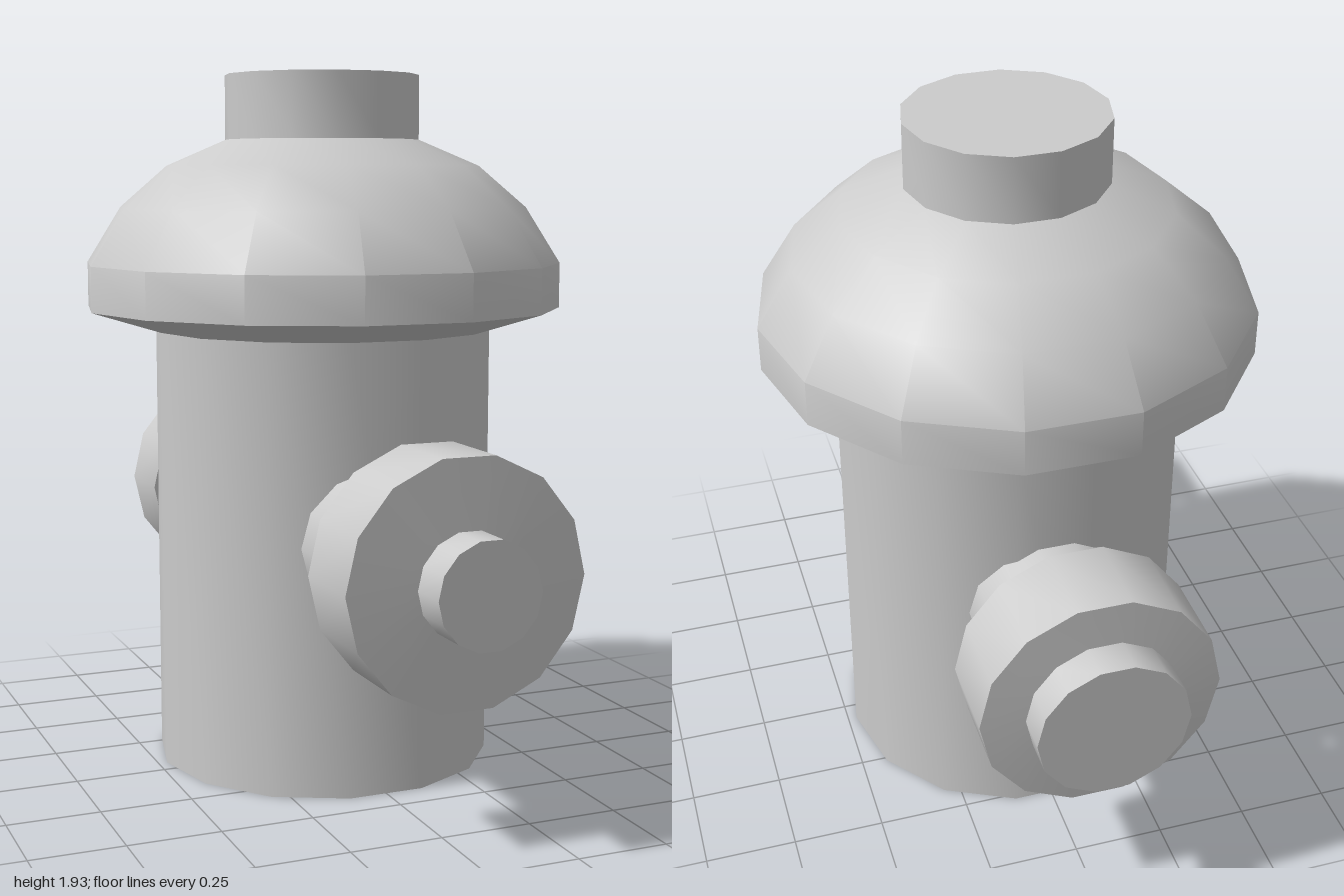
import * as THREE from 'three';
import { toCreasedNormals } from 'three/addons/utils/BufferGeometryUtils.js';

const SIDES = 14;
const AXIS_Z = -0.055;
const material = new THREE.MeshStandardMaterial({ color: 0xcccccc });

// Turned part: profile of [radius, height] from bottom to top, corners at +x and -x
function turned(name, profile) {
  const points = profile.map(([r, h]) => new THREE.Vector2(r, h));
  const lathe = new THREE.LatheGeometry(points, SIDES, Math.PI / 2);
  const mesh = new THREE.Mesh(toCreasedNormals(lathe, THREE.MathUtils.degToRad(38)), material);
  mesh.name = name;
  return mesh;
}

// Side outlet along +z (dir 1) or -z (dir -1): pipe, wide cap and end bolt
function outlet(name, dir, root, capStart, capEnd, boltRadius) {
  const group = new THREE.Group();
  group.name = name;
  group.add(
    turned('pipe', [[0.223, root], [0.223, capStart + 0.02]]),
    turned('cap', [[0, capStart], [0.32, capStart], [0.32, capEnd], [boltRadius, capEnd + 0.008]]),
    turned('bolt', [[boltRadius, capEnd + 0.008], [boltRadius, 1], [0, 1]])
  );
  group.position.y = 0.68;
  group.rotation.x = dir * Math.PI / 2;
  return group;
}

export function createModel() {
  const model = new THREE.Group();
  model.name = 'hydrant';

  // Barrel
  const barrel = turned('barrel', [[0, 0], [0.475, 0], [0.475, 1.225]]);

  // Domed bonnet with sloping underside
  const bonnet = turned('bonnet', [
    [0.475, 1.225], [0.67, 1.285], [0.67, 1.41], [0.573, 1.565], [0.44, 1.68], [0.272, 1.752]
  ]);

  // Top nut
  const nut = turned('topNut', [[0.272, 1.752], [0.272, 1.93], [0, 1.93]]);

  for (const part of [barrel, bonnet, nut]) {
    part.position.z = AXIS_Z;
    model.add(part);
  }

  // Front and back outlets
  model.add(
    outlet('frontOutlet', 1, 0.3, 0.645, 0.88, 0.137),
    outlet('backOutlet', -1, 0.4, 0.668, 0.897, 0.202)
  );
  return model;
}
